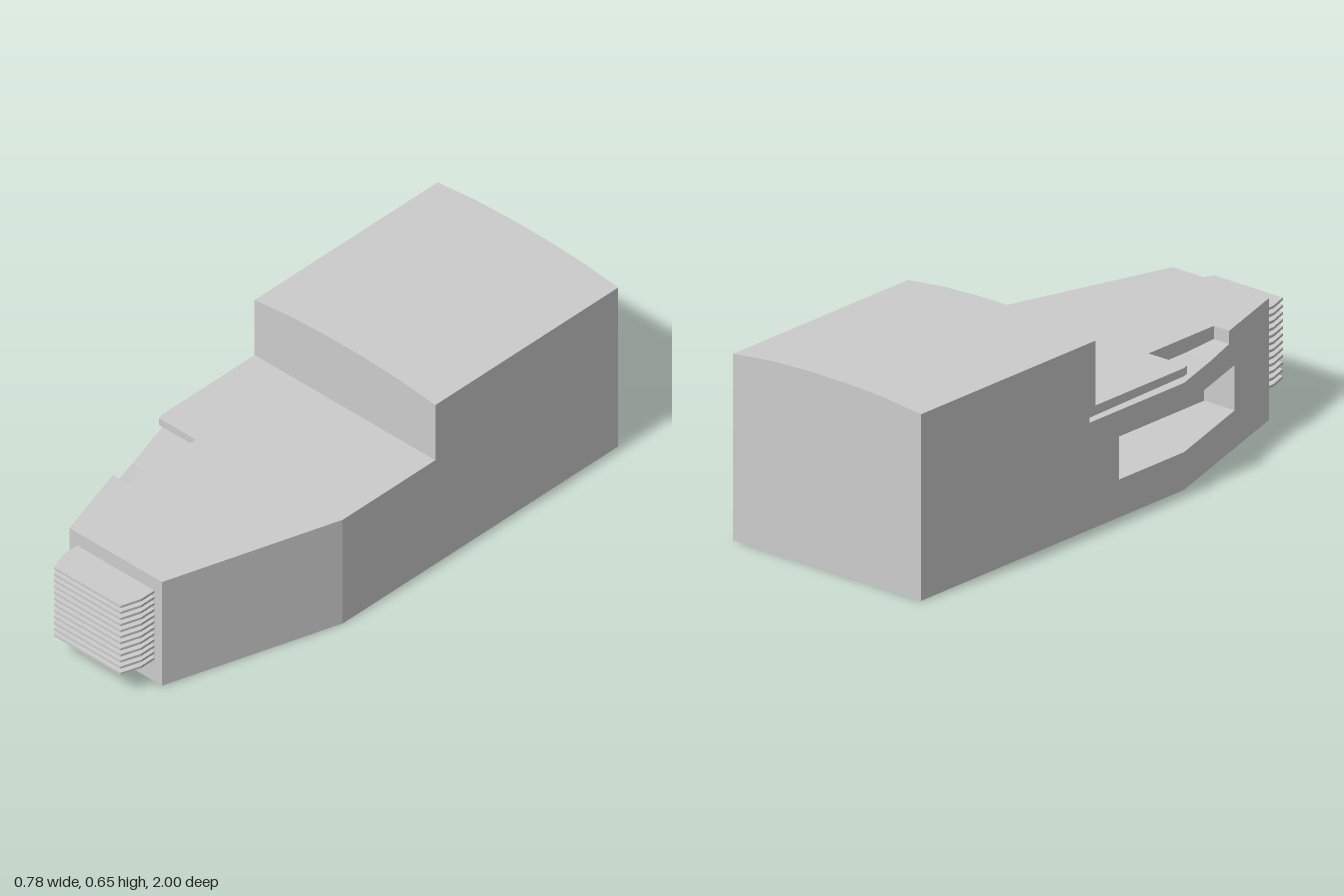
import * as THREE from 'three';

const W = 0.39, BEND = 0.25, FRONT = 0.87, NOSE = 0.2, DECK = 0.41, STEP = -0.17;
// half width of the plan at depth z: straight at the rear, tapering to the nose
const hw = z => (z <= BEND ? W : W - (W - NOSE) * (z - BEND) / (FRONT - BEND));

// triangulate planar 3D outlines, each wound to face its outward direction
function surface(name, faces, material) {
  const pos = [];
  for (const [out, pts] of faces) {
    const o = new THREE.Vector3(...out);
    const v = pts.map(p => new THREE.Vector3(...p));
    const drop = out.map(Math.abs).indexOf(Math.max(...out.map(Math.abs)));
    const [a, b] = [0, 1, 2].filter(i => i !== drop);
    const flat = pts.map(p => new THREE.Vector2(p[a], p[b]));
    for (const [i, j, k] of THREE.ShapeUtils.triangulateShape(flat, [])) {
      const n = v[j].clone().sub(v[i]).cross(v[k].clone().sub(v[i]));
      const tri = n.dot(o) < 0 ? [i, k, j] : [i, j, k];
      for (const t of tri) pos.push(...pts[t]);
    }
  }
  const geo = new THREE.BufferGeometry();
  geo.setAttribute('position', new THREE.Float32BufferAttribute(pos, 3));
  geo.computeVertexNormals();
  const mesh = new THREE.Mesh(geo, material);
  mesh.name = name;
  return mesh;
}

// mappings from 2D outlines to planes
const onSide = (s, pts) => pts.map(([z, y]) => [s * hw(z), y, z]);
const atX = (x, pts) => pts.map(([z, y]) => [x, y, z]);
const atY = (y, pts) => pts.map(([x, z]) => [x, y, z]);
const atZ = (z, pts) => pts.map(([x, y]) => [x, y, z]);
const rect = (a0, a1, b0, b1) => [[a0, b0], [a1, b0], [a1, b1], [a0, b1]];

const UP = [0, 1, 0], DOWN = [0, -1, 0], FWD = [0, 0, 1], BACK = [0, 0, -1], LEFT = [1, 0, 0], RIGHT = [-1, 0, 0];

export function createModel() {
  const model = new THREE.Group();
  const mat = new THREE.MeshStandardMaterial({ color: 0xcccccc, side: THREE.DoubleSide, flatShading: true });

  // recess measurements
  const pocket = { y0: 0.127, y1: 0.28, z0: -0.06, z1: 0.62, x: -0.15 };
  const slot = { y: 0.36, z0: -0.2, lip: 0.27, ramp: 0.446, z1: 0.58, x: -0.225, rampY: 0.366 };
  const ceil = z => 0.377 + 0.006 * (z - slot.z0) / (slot.lip - slot.z0);

  // gently curved roof line
  const roof = [[-W, 0.628], [-0.235, 0.645], [-0.08, 0.652], [0.08, 0.652], [0.235, 0.645], [W, 0.628]];

  // outer shell
  const shell = [
    [DOWN, atY(0, [[-W, -1], [W, -1], [W, BEND], [NOSE, FRONT], [-NOSE, FRONT], [-W, BEND]])],
    [UP, atY(DECK, [[-W, STEP], [W, STEP], [W, BEND], [NOSE, FRONT], [-NOSE, FRONT],
      [-hw(slot.z1), slot.z1], [slot.x, slot.z1], [slot.x, slot.lip], [-hw(slot.lip), slot.lip], [-W, BEND]])],
    [BACK, atZ(-1, [[-W, 0], ...roof, [W, 0]])],
    [FWD, atZ(STEP, [[-W, DECK], ...roof, [W, DECK]])],
    [FWD, atZ(FRONT, rect(-NOSE, NOSE, 0, DECK))],
    // plain left side
    [LEFT, onSide(1, [[-1, 0], [BEND, 0], [BEND, DECK], [STEP, DECK], [STEP, 0.628], [-1, 0.628]])],
    [LEFT, onSide(1, rect(BEND, FRONT, 0, DECK))],
    // right side, cut by the pocket and the slot
    [RIGHT, onSide(-1, [[-1, 0], [BEND, 0], [BEND, pocket.y0], [pocket.z0, pocket.y0], [pocket.z0, pocket.y1],
      [BEND, pocket.y1], [BEND, slot.y], [slot.z0, slot.y], [slot.z0, ceil(slot.z0)], [BEND, ceil(BEND)],
      [BEND, DECK], [STEP, DECK], [STEP, 0.628], [-1, 0.628]])],
    [RIGHT, onSide(-1, [[BEND, 0], [FRONT, 0], [FRONT, DECK], [slot.z1, DECK], [slot.z1, slot.rampY],
      [slot.ramp, slot.y], [BEND, slot.y], [BEND, pocket.y1], [pocket.z1, pocket.y1],
      [pocket.z1, pocket.y0], [BEND, pocket.y0]])],
    [RIGHT, onSide(-1, [[BEND, ceil(BEND)], [slot.lip, ceil(slot.lip)], [slot.lip, DECK], [BEND, DECK]])],
  ];
  for (let i = 0; i < roof.length - 1; i++) {
    const [a, b] = [roof[i], roof[i + 1]];
    shell.push([UP, [[...a, -1], [...b, -1], [...b, STEP], [...a, STEP]]]);
  }
  model.add(surface('body', shell, mat));

  // side pocket
  const p = pocket;
  const pocketPlan = [[-W, p.z0], [p.x, p.z0], [p.x, p.z1], [-hw(p.z1), p.z1], [-W, BEND]];
  model.add(surface('sidePocket', [
    [UP, atY(p.y0, pocketPlan)],
    [DOWN, atY(p.y1, pocketPlan)],
    [FWD, atZ(p.z0, rect(-W, p.x, p.y0, p.y1))],
    [BACK, atZ(p.z1, rect(-hw(p.z1), p.x, p.y0, p.y1))],
    [RIGHT, atX(p.x, rect(p.z0, p.z1, p.y0, p.y1))],
  ], mat));

  // slot under the deck, opening into the deck notch
  const s = slot, end = -hw(s.z1), rampX = -hw(s.ramp), lipX = -hw(s.lip);
  model.add(surface('deckSlot', [
    [UP, atY(s.y, [[-W, s.z0], [s.x, s.z0], [s.x, s.ramp], [rampX, s.ramp], [-W, BEND]])],
    [UP, [[rampX, s.y, s.ramp], [s.x, s.y, s.ramp], [s.x, s.rampY, s.z1], [end, s.rampY, s.z1]]],
    [DOWN, [[-W, s.z0], [s.x, s.z0], [s.x, s.lip], [lipX, s.lip], [-W, BEND]].map(([x, z]) => [x, ceil(z), z])],
    [FWD, atZ(s.z0, rect(-W, s.x, s.y, ceil(s.z0)))],
    [FWD, atZ(s.lip, rect(lipX, s.x, ceil(s.lip), DECK))],
    [BACK, atZ(s.z1, rect(end, s.x, s.rampY, DECK))],
    [RIGHT, atX(s.x, [[s.z0, s.y], [s.ramp, s.y], [s.z1, s.rampY], [s.z1, DECK], [s.lip, DECK],
      [s.lip, ceil(s.lip)], [s.z0, ceil(s.z0)]])],
  ], mat));

  // stack of thin fins on the nose
  const outline = [[-0.167, FRONT], [0.167, FRONT], [0.167, 0.93], [0.144, 1], [-0.144, 1], [-0.167, 0.93]];
  const finGeo = new THREE.ExtrudeGeometry(
    new THREE.Shape(outline.map(([x, z]) => new THREE.Vector2(x, z))), { depth: 0.009, bevelEnabled: false });
  finGeo.rotateX(Math.PI / 2);
  const fins = new THREE.Group();
  fins.name = 'noseFins';
  for (let i = 0; i < 12; i++) {
    const fin = new THREE.Mesh(finGeo, mat);
    fin.name = 'fin';
    fin.position.y = 0.0945 + i * 0.024;
    fins.add(fin);
  }
  model.add(fins);
  return model;
}
